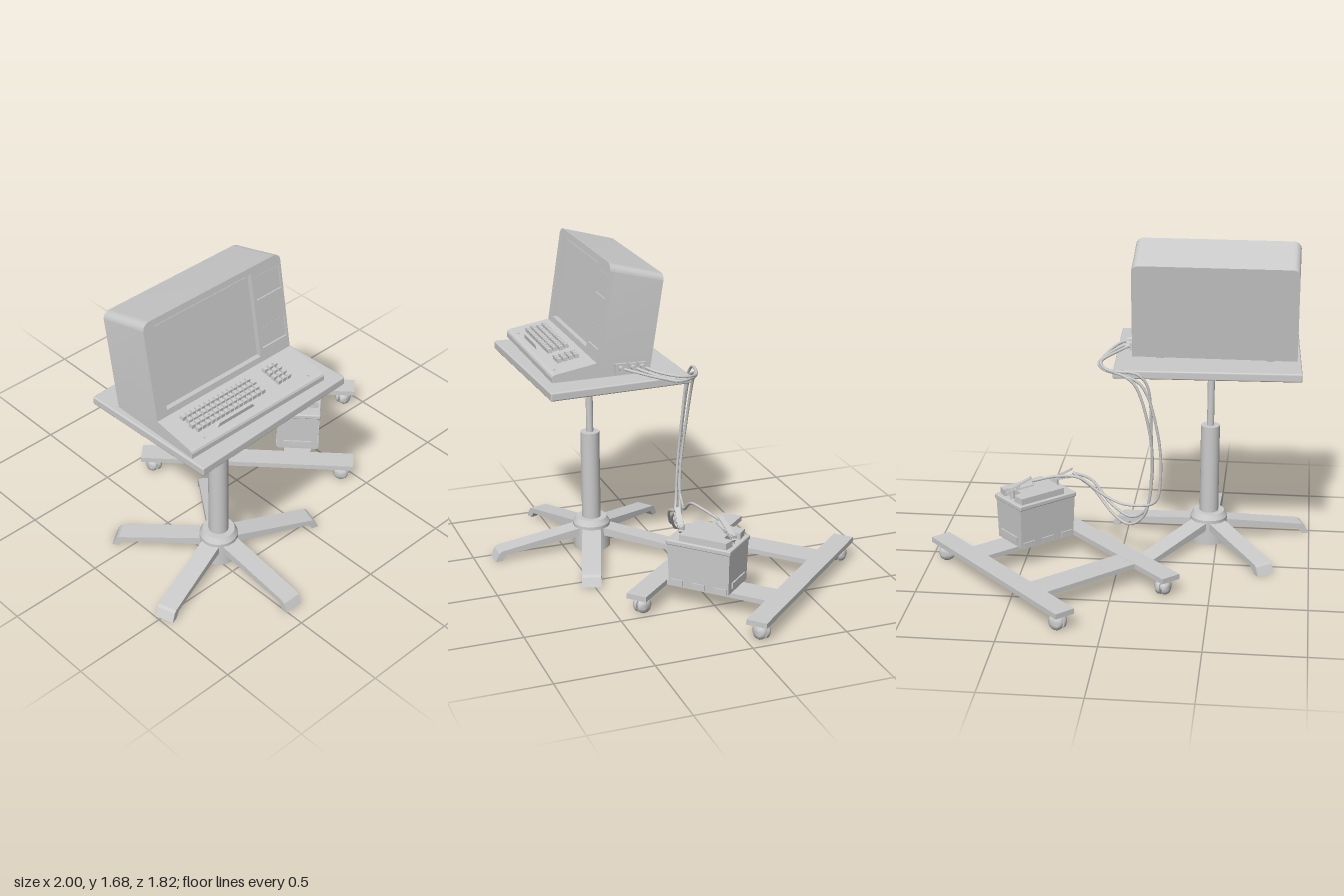
import * as THREE from 'three';
import { toCreasedNormals } from 'three/addons/utils/BufferGeometryUtils.js';
import { RoundedBoxGeometry } from 'three/addons/geometries/RoundedBoxGeometry.js';

const grey = new THREE.MeshStandardMaterial({ color: 0xcccccc, roughness: 0.8 });
const V = (x, y, z) => new THREE.Vector3(x, y, z);

function add(parent, name, geo, x = 0, y = 0, z = 0) {
  const m = new THREE.Mesh(geo, grey);
  m.name = name;
  m.position.set(x, y, z);
  parent.add(m);
  return m;
}
const box = (w, h, d) => new THREE.BoxGeometry(w, h, d);
const cyl = (r0, r1, h, n = 24) => new THREE.CylinderGeometry(r0, r1, h, n);
const poly = pts => new THREE.Shape(pts.map(p => new THREE.Vector2(p[0], p[1])));
const extrude = (shape, depth) =>
  new THREE.ExtrudeGeometry(shape, { depth, bevelEnabled: false, curveSegments: 8 });
const rect = (x0, x1, y0, y1) => poly([[x0, y0], [x1, y0], [x1, y1], [x0, y1]]);
function group(parent, name) {
  const g = new THREE.Group();
  g.name = name;
  parent.add(g);
  return g;
}

// Pedestal: hub, telescopic column, five splayed legs and the table top
function buildStand(root) {
  const stand = group(root, 'stand');
  stand.position.set(-0.452, 0, 0.345);
  const hub = new THREE.LatheGeometry([[0, 0], [0.1, 0], [0.1, 0.14], [0.083, 0.17], [0, 0.17]]
    .map(p => new THREE.Vector2(...p)), 24);
  add(stand, 'hub', toCreasedNormals(hub, 0.4));
  add(stand, 'outerColumn', cyl(0.051, 0.051, 0.5), 0, 0.41, 0);
  add(stand, 'innerColumn', cyl(0.019, 0.019, 0.39), 0, 0.845, 0);
  const leg = extrude(poly([[0.05, 0.085], [0.495, 0.032], [0.52, 0], [0.557, 0],
    [0.535, 0.045], [0.52, 0.056], [0.05, 0.13]]), 0.1).translate(0, 0, -0.05);
  for (let i = 0; i < 5; i++) {
    add(stand, 'leg', leg).rotation.y = -Math.PI / 2 + i * Math.PI * 0.4;
  }
  const top = add(root, 'tableTop', new RoundedBoxGeometry(0.965, 0.045, 0.755, 2, 0.008),
    -0.436, 1.057, 0.344);
  top.rotation.y = 0.037;
}

// Leaning monitor case with keyboard deck in front
function buildTerminal(root) {
  const g = group(root, 'terminal');
  g.position.x = -0.476;
  // Lean the case: depth runs 0 (back) to 1 (front), the top rises to the front
  const lean = geo => {
    const p = geo.attributes.position;
    for (let i = 0; i < p.count; i++) {
      const d = p.getZ(i);
      const h = p.getY(i) / 0.59 * (0.51 + 0.08 * d);
      p.setXYZ(i, p.getX(i), 1.095 + h * 0.99, 0.146 + 0.295 * d - 0.161 * h);
    }
    return toCreasedNormals(geo, 0.5);
  };
  const outline = () => {
    const s = new THREE.Shape(), w = 0.428, r = 0.04, t = 0.59;
    s.moveTo(-w, 0).lineTo(w, 0).lineTo(w, t - r);
    s.absarc(w - r, t - r, r, 0, Math.PI / 2);
    s.absarc(-w + r, t - r, r, Math.PI / 2, Math.PI);
    return s;
  };
  const slab = (name, x0, x1, y0, y1, d0, d1) =>
    add(g, name, lean(extrude(rect(x0, x1, y0, y1), d1 - d0).translate(0, 0, d0)));

  add(g, 'caseBody', lean(extrude(outline(), 0.91)));
  const front = outline();
  const bays = [[0.256, 0.416, 0.407, 0.53], [0.256, 0.416, 0.145, 0.258]];
  for (const h of [[-0.364, 0.236, 0.11, 0.557], ...bays]) front.holes.push(rect(...h));
  add(g, 'frontFrame', lean(extrude(front, 0.09).translate(0, 0, 0.91)));
  slab('screen', -0.35, 0.222, 0.12, 0.543, 0.9, 0.935);
  for (const [x0, x1, y0, y1] of bays) {
    slab('driveBay', x0 + 0.004, x1 - 0.004, y0 + 0.004, y1 - 0.004, 0.9, 0.985);
  }

  // Keyboard deck
  const deck = extrude(poly([[-0.665, 1.095], [-0.4, 1.095], [-0.4, 1.177], [-0.43, 1.172],
    [-0.645, 1.137], [-0.66, 1.13], [-0.665, 1.12]]), 0.856);
  add(g, 'keyboardDeck', deck.rotateY(Math.PI / 2).translate(-0.428, 0, 0));
  const slope = 0.163;
  const key = (name, x, z, w, d = 0.022) => {
    const m = add(g, name, new THREE.CylinderGeometry(0.6, 0.707, 1, 4, 1).rotateY(Math.PI / 4),
      x, 1.172 - (z - 0.43) * slope + 0.008, z);
    m.geometry = m.geometry.toNonIndexed();
    m.geometry.computeVertexNormals();
    m.scale.set(w, 0.028, d);
    m.rotation.x = slope;
  };
  for (let r = 0; r < 4; r++) {
    const z = 0.485 + r * 0.031;
    for (let i = 0; i < 15; i++) key('key', -0.32 + i * 0.029 + (r % 2) * 0.01, z, 0.024, 0.025);
    for (let i = 0; i < 3; i++) key('numberKey', 0.206 + i * 0.031, z, 0.025, 0.025);
  }
  key('spaceBar', -0.112, 0.612, 0.245);
  for (const x of [-0.321, 0.356]) add(g, 'lamp', cyl(0.006, 0.006, 0.012, 12), x, 1.138, 0.63);

  // Feet and side sockets
  for (const x of [-0.285, 0.285]) for (const z of [0.2, 0.6]) {
    add(g, 'foot', cyl(0.025, 0.022, 0.03, 16), x, 1.085, z);
  }
  add(g, 'socket', box(0.02, 0.058, 0.058), 0.433, 1.132, 0.305);
  for (const z of [0.24, 0.19]) add(g, 'socket', box(0.02, 0.038, 0.04), 0.433, 1.138, z);
  for (const z of [0.305, 0.24, 0.19]) {
    add(g, 'plug', cyl(0.013, 0.013, 0.03, 12).rotateZ(Math.PI / 2), 0.452, 1.138, z);
  }
}

// Low trolley on four casters, carrying the battery
function buildTrolley(root) {
  const g = group(root, 'trolley');
  g.position.set(0.327, 0, -0.232);
  g.rotation.y = 0.751;
  for (const s of [-1, 1]) {
    add(g, 'rail', box(0.11, 0.028, 1.153), s * 0.328, 0.104, 0);
    add(g, 'crossBar', box(0.56, 0.026, 0.147), 0, 0.104, s * 0.27);
    for (const e of [-1, 1]) {
      const c = group(g, 'caster');
      c.position.set(s * 0.328, 0, e * 0.513);
      c.rotation.y = 0.6 * s + 0.4 * e;
      add(c, 'stem', cyl(0.013, 0.013, 0.04, 12), 0, 0.075, 0);
      add(c, 'axleBlock', cyl(0.03, 0.03, 0.02, 16).rotateZ(Math.PI / 2), 0, 0.046, 0);
      for (const k of [-1, 1]) {
        const wheel = new THREE.LatheGeometry([[0, 0], [0.042, 0], [0.042, 0.014],
          [0.032, 0.028], [0.016, 0.034], [0, 0.035]].map(p => new THREE.Vector2(...p)), 20);
        const w = add(c, 'wheel', toCreasedNormals(wheel, 0.7), k * 0.006, 0.042, 0);
        w.rotation.z = -k * Math.PI / 2;
      }
    }
  }

  // Battery: tapered tub, overhanging lid, raised cover and posts
  const b = group(g, 'battery');
  b.position.set(-0.08, 0.118, 0.268);
  const tub = box(0.345, 0.225, 0.23), p = tub.attributes.position;
  for (let i = 0; i < p.count; i++) {
    if (p.getY(i) < 0) p.setXYZ(i, p.getX(i) * 0.96, p.getY(i), p.getZ(i) * 0.94);
  }
  tub.computeVertexNormals();
  add(b, 'tub', tub, 0, 0.1125, 0);
  for (const s of [-1, 1]) {
    add(b, 'endLedge', box(0.012, 0.03, 0.15), s * 0.169, 0.04, 0);
    for (const k of [-1, 0, 1]) add(b, 'sideFoot', box(0.07, 0.03, 0.01), k * 0.12, 0.015, s * 0.111);
    add(b, 'terminalPost', cyl(0.011, 0.013, 0.05, 12), s * 0.14, 0.265, 0.01);
  }
  add(b, 'lid', new RoundedBoxGeometry(0.358, 0.026, 0.243, 2, 0.006), 0, 0.23, 0);
  const cover = poly([[-0.11, -0.105], [0.155, -0.105], [0.16, -0.04], [0.11, -0.03],
    [0.11, 0.045], [0.16, 0.055], [0.15, 0.107], [-0.11, 0.107]]);
  add(b, 'raisedCover', extrude(cover, 0.035).rotateX(Math.PI / 2), 0, 0.277, 0);
}

// Crocodile clamp: two jaws with flared grips, from tail to tip
function buildClamp(root, tail, tip) {
  const c = group(root, 'clamp');
  c.position.copy(tail);
  c.lookAt(tip);
  const len = tail.distanceTo(tip);
  for (const s of [-1, 1]) {
    const jaw = add(c, 'jaw', box(0.028, 0.009, len * 1.05), 0, s * 0.011, len / 2);
    jaw.rotation.x = s * 0.13;
    const tooth = add(c, 'jawTip', box(0.02, 0.016, 0.03), 0, s * 0.009, len);
    tooth.rotation.x = -s * 0.3;
  }
  add(c, 'pivot', cyl(0.011, 0.011, 0.04, 12).rotateZ(Math.PI / 2), 0, 0, len * 0.6);
}

// Cables from the sockets, over the back corner of the table, to the battery
function buildCables(root) {
  const tail1 = V(0.265, 0.445, 0.115), tail2 = V(0.46, 0.45, -0.04);
  buildClamp(root, tail1, V(0.375, 0.395, 0.135));
  buildClamp(root, tail2, V(0.58, 0.4, -0.065));
  const runs = [
    [V(-0.03, 1.138, 0.305), V(0.03, 1.13, 0.25), V(0.1, 1.095, 0.1), V(0.09, 1.085, -0.02),
      V(-0.01, 1.075, -0.09), V(-0.12, 1.02, -0.1), V(-0.205, 0.76, -0.095), V(-0.22, 0.5, -0.08),
      V(-0.19, 0.37, -0.07), V(-0.03, 0.335, -0.03), V(0.1, 0.375, 0.01), V(0.22, 0.455, 0.02),
      V(0.34, 0.465, 0), tail2],
    [V(-0.03, 1.138, 0.24), V(0.04, 1.12, 0.18), V(0.115, 1.085, 0.06), V(0.07, 1.08, -0.05),
      V(-0.03, 1.07, -0.105), V(-0.09, 1.02, -0.11), V(-0.165, 0.76, -0.1), V(-0.175, 0.5, -0.07),
      V(-0.13, 0.28, -0.05), V(-0.05, 0.22, -0.02), V(0.04, 0.25, 0.04), V(0.15, 0.36, 0.1), tail1],
    [V(-0.03, 1.138, 0.19), V(0.03, 1.12, 0.14), V(0.1, 1.1, 0.02), V(0.05, 1.085, -0.07),
      V(-0.1, 1.08, -0.105), V(-0.15, 1.02, -0.1), V(-0.17, 0.76, -0.075), V(-0.17, 0.5, -0.05),
      V(-0.14, 0.31, -0.03), V(-0.06, 0.25, 0.01), V(0.05, 0.29, 0.07), V(0.17, 0.41, 0.12), tail1],
  ];
  for (const pts of runs) {
    add(root, 'cable', new THREE.TubeGeometry(new THREE.CatmullRomCurve3(pts), 110, 0.0075, 8));
  }
}

export function createModel() {
  const root = new THREE.Group();
  root.name = 'terminalWorkstation';
  buildStand(root);
  buildTerminal(root);
  buildTrolley(root);
  buildCables(root);
  return root;
}
